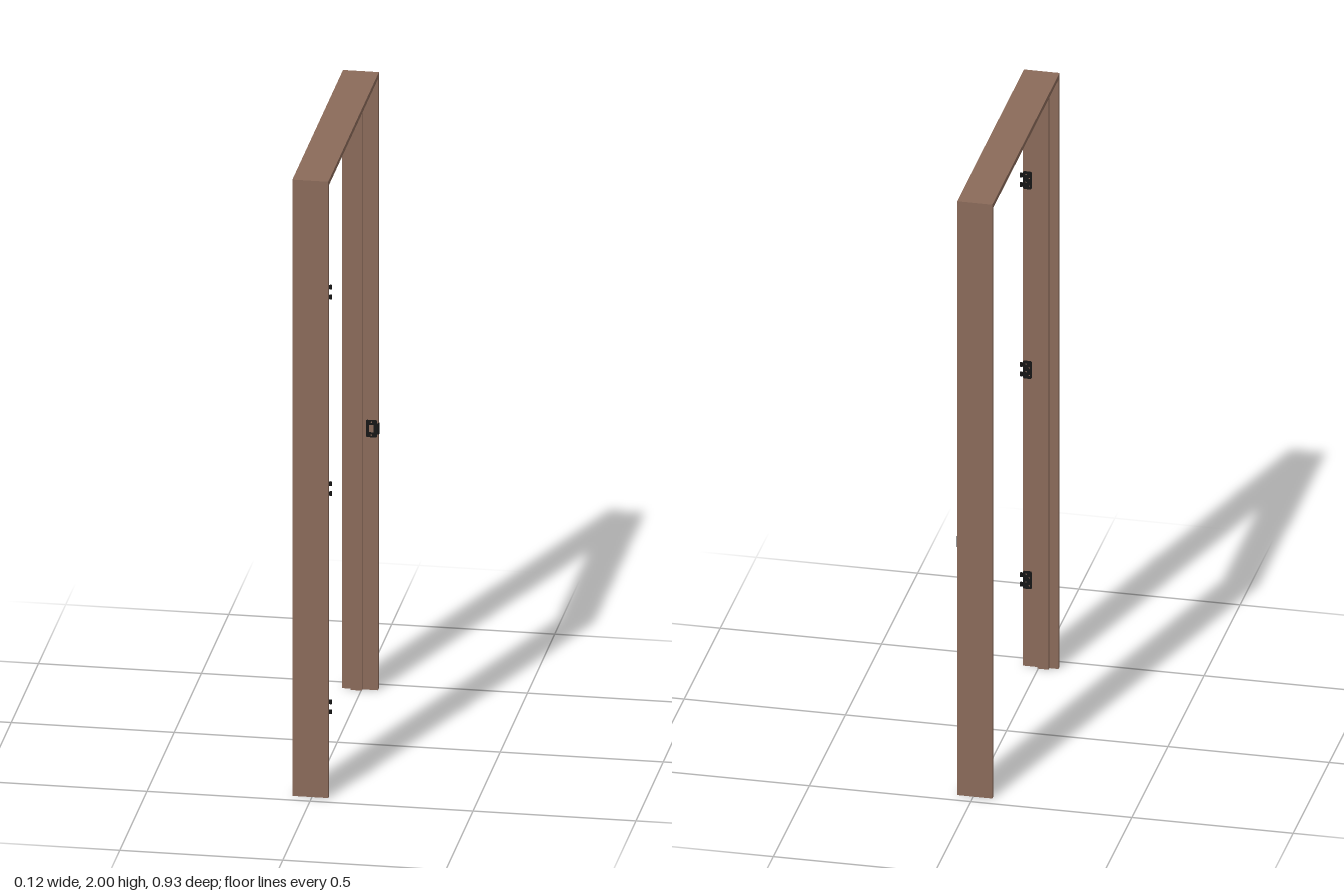
import * as THREE from 'three';

const wood = new THREE.MeshStandardMaterial({ color: 0x8b6b5a });
wood.name = 'brown wood';
const metal = new THREE.MeshStandardMaterial({ color: 0x141414 });
metal.name = 'black metal';

const BACK = -0.06, FRONT = 0.05; // jamb depth along x
const HALF = 0.465, TOP = 2, JAMB = 0.016, STOP = 0.011;
const FACE = HALF - JAMB; // inner face of each jamb

function add(parent, name, geometry, material) {
  const mesh = new THREE.Mesh(geometry, material);
  mesh.name = name;
  parent.add(mesh);
  return mesh;
}

// Three-sided portal running from outer to inner offset, extruded along x
function portal(outer, inner, x0, x1) {
  const a = HALF - outer, b = HALF - inner;
  const shape = new THREE.Shape([
    [-a, 0], [-b, 0], [-b, TOP - inner], [b, TOP - inner],
    [b, 0], [a, 0], [a, TOP - outer], [-a, TOP - outer],
  ].map(([x, y]) => new THREE.Vector2(x, y)));
  return new THREE.ExtrudeGeometry(shape, { depth: x1 - x0, bevelEnabled: false })
    .rotateY(Math.PI / 2).translate(x0, 0, 0);
}

// Thin plate in the x-y plane with rounded corners and optional holes
function plate(w, h, r, depth, holes = []) {
  const x = w / 2, y = h / 2;
  const s = new THREE.Shape();
  s.moveTo(-x + r, -y).lineTo(x - r, -y).absarc(x - r, -y + r, r, -Math.PI / 2, 0);
  s.lineTo(x, y - r).absarc(x - r, y - r, r, 0, Math.PI / 2);
  s.lineTo(-x + r, y).absarc(-x + r, y - r, r, Math.PI / 2, Math.PI);
  s.lineTo(-x, -y + r).absarc(-x + r, -y + r, r, Math.PI, Math.PI * 1.5);
  s.holes.push(...holes);
  return new THREE.ExtrudeGeometry(s, { depth, bevelEnabled: false, curveSegments: 6 });
}

function roundHole(x, y, r) {
  return new THREE.Path().absarc(x, y, r, 0, Math.PI * 2, true);
}

// Jamb leaf with screw holes and its two knuckles
function createHinge(y) {
  const hinge = new THREE.Group();
  hinge.name = 'hinge';
  const holes = [[0.004, 0.019], [-0.006, 0.007], [0.004, -0.007], [-0.006, -0.019]]
    .map(([hx, hy]) => roundHole(hx, hy, 0.0022));
  add(hinge, 'hingeLeaf', plate(0.028, 0.06, 0.006, 0.0015, holes), metal)
    .position.set(FRONT - 0.014, 0, FACE - 0.0012);
  for (const side of [-1, 1]) {
    add(hinge, 'hingeKnuckle', new THREE.CylinderGeometry(0.004, 0.004, 0.013, 16), metal)
      .position.set(FRONT + 0.005, side * 0.016, FACE - 0.001);
    add(hinge, 'knuckleTab', new THREE.BoxGeometry(0.006, 0.013, 0.0015), metal)
      .position.set(FRONT + 0.001, side * 0.016, FACE - 0.0005);
  }
  hinge.position.y = y;
  return hinge;
}

// Latch plate with an opening, two screw holes and a curved lip
function createStrike(y) {
  const strike = new THREE.Group();
  strike.name = 'strikePlate';
  const latch = new THREE.Path([[-0.007, -0.012], [-0.007, 0.012], [0.007, 0.012], [0.007, -0.012]]
    .map(([px, py]) => new THREE.Vector2(px, py)));
  const holes = [latch, roundHole(0, 0.021, 0.0025), roundHole(0, -0.021, 0.0025)];
  add(strike, 'strikeFace', plate(0.034, 0.056, 0.004, 0.0015, holes), metal)
    .position.set(0.03, 0, -FACE - 0.0003);
  const lip = new THREE.Shape();
  lip.moveTo(0, 0).lineTo(0, 0.0015).lineTo(0.008, 0.0015);
  lip.quadraticCurveTo(0.013, 0.001, 0.014, -0.006).lineTo(0.0125, -0.006);
  lip.quadraticCurveTo(0.011, -0.0005, 0.008, 0).lineTo(0, 0);
  const geometry = new THREE.ExtrudeGeometry(lip, { depth: 0.036, bevelEnabled: false })
    .rotateX(Math.PI / 2).translate(0, 0.018, 0);
  add(strike, 'strikeLip', geometry, metal).position.set(FRONT - 0.01, 0, -FACE - 0.0003);
  strike.position.y = y;
  return strike;
}

export function createModel() {
  const model = new THREE.Group();
  model.name = 'doorFrame';
  add(model, 'jambsAndHead', portal(0, JAMB, BACK, FRONT), wood);
  add(model, 'doorStop', portal(JAMB, JAMB + STOP, -0.032, 0.002), wood);
  for (const y of [0.29, 0.998, 1.636]) model.add(createHinge(y));
  model.add(createStrike(0.848));
  return model;
}
